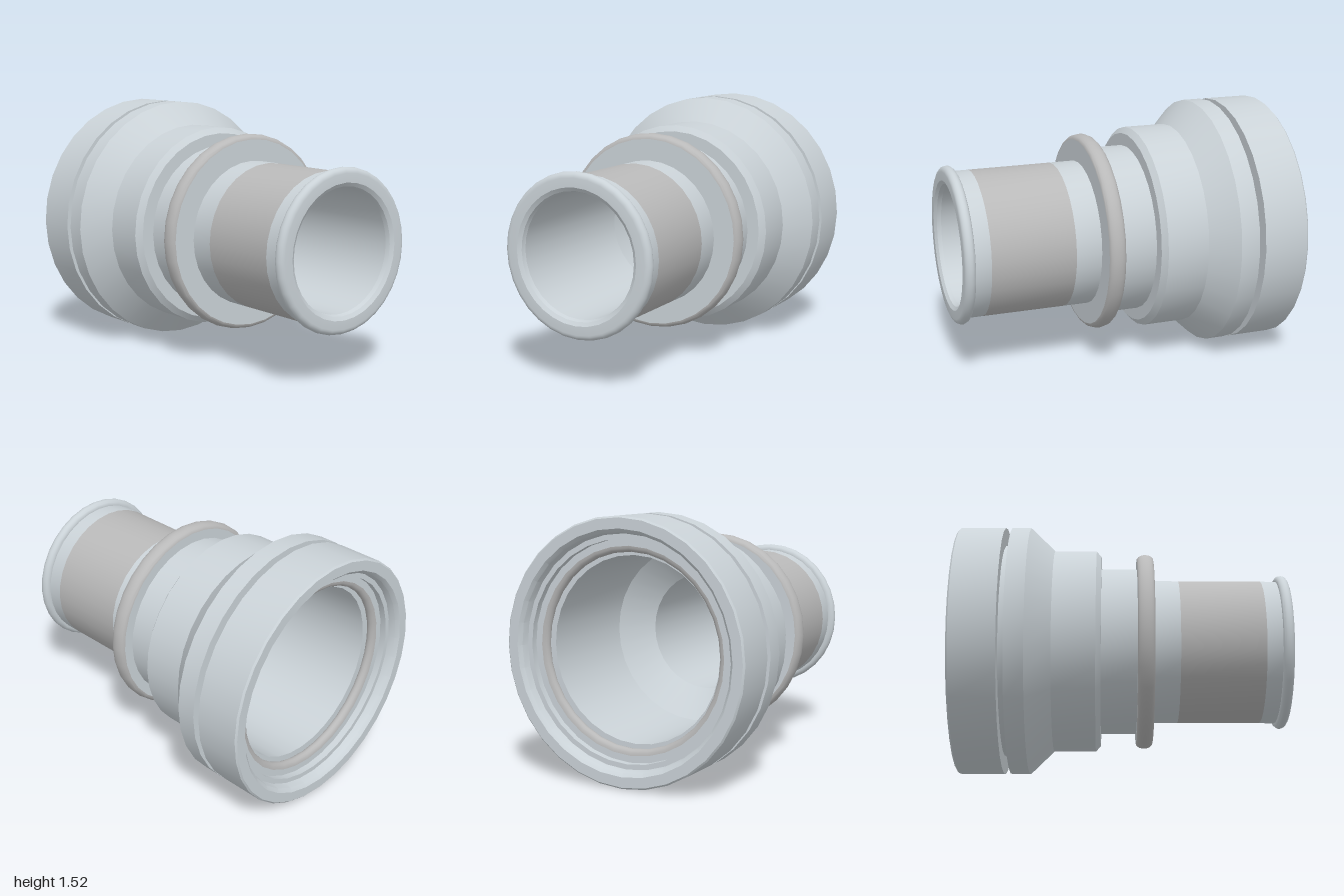
import * as THREE from 'three';
import { toCreasedNormals } from 'three/addons/utils/BufferGeometryUtils.js';

const SEGMENTS = 32;
const AXIS_HEIGHT = 0.76;

export function createModel() {
  const group = new THREE.Group();
  const steel = new THREE.MeshStandardMaterial({ color: 0xcad2d7 });
  steel.name = 'pale steel';
  const grey = new THREE.MeshStandardMaterial({ color: 0xb9b9b9 });
  grey.name = 'neutral grey';

  // Revolves [x, radius] points about the x axis; outer walls run towards +x
  function revolve(name, material, points) {
    const profile = points.map(([x, r]) => new THREE.Vector2(r, x));
    const geometry = toCreasedNormals(new THREE.LatheGeometry(profile, SEGMENTS), 0.55);
    geometry.rotateZ(-Math.PI / 2);
    const mesh = new THREE.Mesh(geometry, material);
    mesh.name = name;
    mesh.position.y = AXIS_HEIGHT;
    group.add(mesh);
  }

  // Points along an arc in the profile plane
  function arc(cx, cr, rx, rr, from, to, steps) {
    return Array.from({ length: steps + 1 }, (_, i) => {
      const a = from + (to - from) * i / steps;
      return [cx + rx * Math.cos(a), cr + rr * Math.sin(a)];
    });
  }

  // Stepped outer shell with coupling groove, cone and shoulder
  revolve('socketBody', steel, [
    [-1, 0.69], [-1, 0.75], [-0.99, 0.76], [-0.72, 0.76], [-0.72, 0.65],
    [-0.68, 0.65], [-0.68, 0.76], [-0.565, 0.76], [-0.42, 0.62],
    [-0.165, 0.62], [-0.135, 0.585], [-0.135, 0.51], [0.08, 0.51],
  ]);

  // Stepped mouth and bore, narrowing towards the pipe
  revolve('socketBore', steel, [
    [0, 0.36], [-0.15, 0.535], [-0.84, 0.535], [-0.84, 0.59], [-0.9, 0.59],
    [-0.9, 0.63], [-0.94, 0.63], [-0.94, 0.66], [-0.98, 0.67], [-1, 0.69],
  ]);

  // Seal seated inside the mouth
  revolve('innerSeal', grey, arc(-0.87, 0.59, 0.03, 0.035, 0, -Math.PI, 8));

  // Collar faces and rounded rim
  revolve('collarBackFace', steel, [[0.08, 0.5], [0.08, 0.57]]);
  revolve('collarRim', grey, arc(0.13, 0.57, 0.05, 0.03, Math.PI, 0, 10));
  revolve('collarFrontFace', steel, [[0.18, 0.57], [0.18, 0.43]]);

  // Pipe in three colour bands
  revolve('pipeBase', steel, [[0.18, 0.44], [0.335, 0.44]]);
  revolve('pipeBand', grey, [[0.335, 0.44], [0.84, 0.44]]);
  revolve('pipeEnd', steel, [[0.84, 0.44], [0.935, 0.44]]);

  // Rolled bead at the pipe mouth
  revolve('endBead', steel, [
    [0.935, 0.43], ...arc(0.967, 0.442, 0.033, 0.033, Math.PI, 0, 10),
    [1, 0.39], [0.985, 0.368], [0.96, 0.36],
  ]);
  revolve('pipeBore', steel, [[0.96, 0.36], [0, 0.36]]);

  return group;
}
